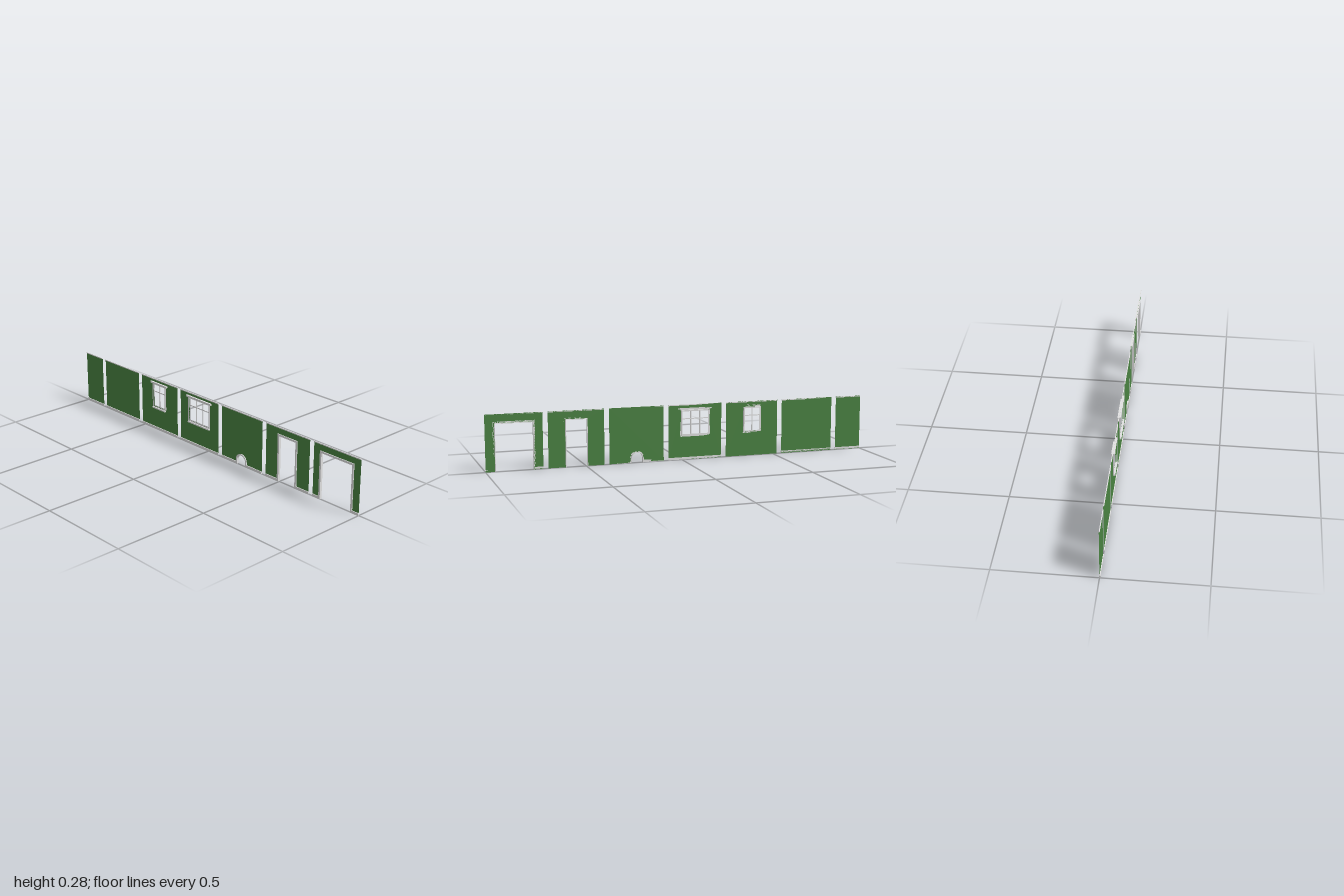
import * as THREE from 'three';

const green = new THREE.MeshStandardMaterial({ color: 0x4a8342, side: THREE.DoubleSide });
green.name = 'wall green';
const white = new THREE.MeshStandardMaterial({ color: 0xe2e2e2 });
white.name = 'trim white';

const W = 0.284, H = 0.283, PITCH = 0.3096;
const BACK = -0.009, FRONT = 0.004;
const toShape = (pts) => new THREE.Shape(pts.map(([x, y]) => new THREE.Vector2(x, y)));

// Opening outlines run from bottom left, over the top, to bottom right.
const door = (h, top) => [[-h, 0], [-h, top], [h, top], [h, 0]];
const arch = (h, spring) => {
  const pts = [[-h, 0]];
  for (let i = 0; i <= 14; i++) {
    const a = Math.PI * (1 - i / 14);
    pts.push([h * Math.cos(a), spring + h * Math.sin(a)]);
  }
  pts.push([h, 0]);
  return pts;
};
// Rectangle with clipped corners, used for window surrounds.
const windowOutline = (h, y0, y1, c) => [
  [-h + c, y0], [-h, y0 + c], [-h, y1 - c], [-h + c, y1],
  [h - c, y1], [h, y1 - c], [h, y0 + c], [h - c, y0]];

function add(group, name, geometry, material) {
  const mesh = new THREE.Mesh(geometry, material);
  mesh.name = name;
  group.add(mesh);
  return mesh;
}

function slab(group, name, shape, z0, z1) {
  const g = new THREE.ExtrudeGeometry(shape, { depth: z1 - z0, bevelEnabled: false });
  g.translate(0, 0, z0);
  add(group, name, g, white);
}

function bar(group, name, x0, x1, y0, y1, z0, z1) {
  const g = new THREE.BoxGeometry(x1 - x0, y1 - y0, z1 - z0);
  g.translate((x0 + x1) / 2, (y0 + y1) / 2, (z0 + z1) / 2);
  add(group, name, g, white);
}

// Wall sheet with top trim and skirting; a notch starts at the floor, a hole does not.
function wall(name, x, width, { notch = [], hole = null, gap = 0 } = {}) {
  const group = new THREE.Group();
  group.name = name;
  group.position.x = x;
  const h = width / 2;
  const shape = toShape([[-h, 0], ...notch, [h, 0], [h, H], [-h, H]]);
  if (hole) shape.holes.push(toShape(hole));
  add(group, 'wallSheet', new THREE.ShapeGeometry(shape), green);
  bar(group, 'topTrim', -h, h, H - 0.005, H, 0, FRONT);
  if (gap) {
    bar(group, 'skirtingRight', -h, -gap, 0, 0.012, 0, FRONT);
    bar(group, 'skirtingLeft', gap, h, 0, 0.012, 0, FRONT);
  } else {
    bar(group, 'skirting', -h, h, 0, 0.012, 0, FRONT);
  }
  return group;
}

// Floor opening: flat surround on the front and a thin lining behind.
function openingWall(name, x, outline, half, trim) {
  const inner = outline(0);
  const group = wall(name, x, W, { notch: inner, gap: half + trim });
  const band = (t) => toShape([...outline(t), ...outline(0).reverse()]);
  slab(group, 'surround', band(trim), 0, FRONT);
  slab(group, 'lining', band(0.003), BACK, 0);
  return group;
}

function windowWall(name, x, half, columns) {
  const y0 = 0.128, y1 = 0.252, t = 0.008;
  const inner = windowOutline(half, y0, y1, 0.003);
  const group = wall(name, x, W, { hole: inner });
  const ring = (outer, hole) => {
    const s = toShape(outer);
    s.holes.push(toShape(hole));
    return s;
  };
  slab(group, 'surround', ring(windowOutline(half + t, y0 - t, y1 + t, 0.007), inner), 0, FRONT);
  slab(group, 'lining', ring(windowOutline(half + 0.003, y0 - 0.003, y1 + 0.003, 0.004), inner), BACK, 0);
  slab(group, 'sash', ring(inner, windowOutline(half - 0.004, y0 + 0.004, y1 - 0.004, 0.001)), -0.005, -0.001);
  // Glazing bars
  for (let i = 1; i < columns; i++) {
    const bx = -half + (2 * half * i) / columns;
    bar(group, 'mullion', bx - 0.0025, bx + 0.0025, y0, y1, -0.0045, -0.0015);
  }
  bar(group, 'transom', -half, half, 0.208, 0.213, -0.0045, -0.0015);
  // Projecting head and sill
  bar(group, 'head', -half - 0.019, half + 0.019, 0.256, 0.265, 0, 0.009);
  bar(group, 'sill', -half - 0.006, half + 0.006, 0.118, 0.125, 0, 0.01);
  return group;
}

export function createModel() {
  const model = new THREE.Group();
  model.name = 'wallSet';
  // Panel centres, counted back from the panel at the +x end
  const cx = (i) => 1 - W / 2 - i * PITCH;
  model.add(
    wall('halfWall', -1 + W / 4, W / 2),
    wall('plainWall', cx(5), W),
    windowWall('smallWindowWall', cx(4), 0.044, 2),
    windowWall('wideWindowWall', cx(3), 0.073, 3),
    openingWall('archWall', cx(2), (t) => arch(0.029 + t, 0.023), 0.029, 0.008),
    openingWall('doorWall', cx(1), (t) => door(0.053 + t, 0.237 + t), 0.053, 0.01),
    openingWall('wideDoorWall', cx(0), (t) => door(0.093 + t, 0.236 + t), 0.093, 0.01),
  );
  return model;
}
